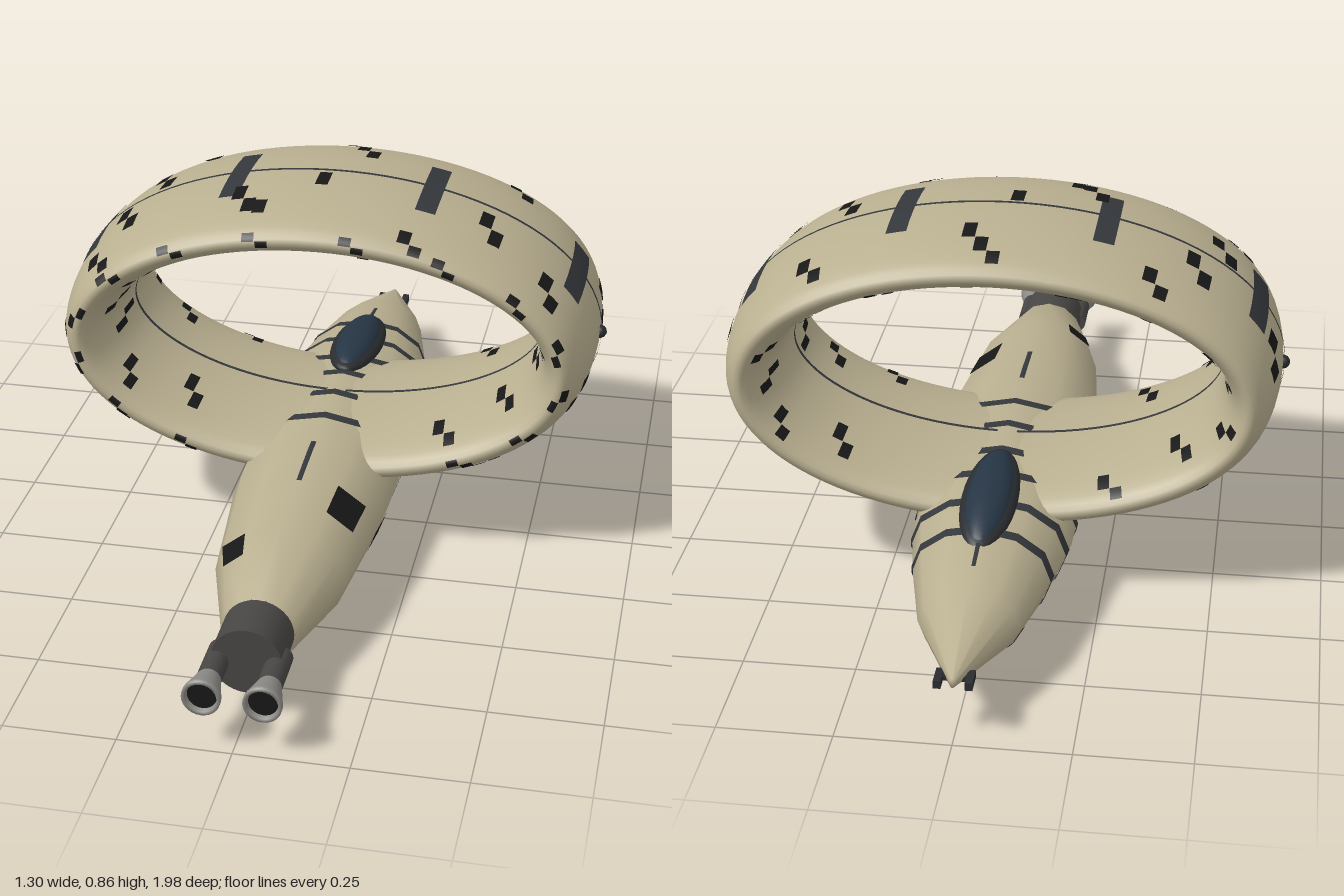
import * as THREE from 'three';
import { mergeVertices } from 'three/addons/utils/BufferGeometryUtils.js';

const mat = (color) => new THREE.MeshStandardMaterial({ color, side: THREE.DoubleSide });
const TAN = mat(0xb9af90), DARK = mat(0x2a2c2f), BLACK = mat(0x171717), BAND = mat(0x34373b);
const GLASS = mat(0x263544), METAL = mat(0x484644), BELL = mat(0x8c8a86);
const RAD = Math.PI / 180;

// Grid surface over fn(u, v) with welded, smooth vertices
function surface(fn, u0, u1, v0, v1, nu, nv) {
  const pos = [], index = [];
  for (let j = 0; j <= nv; j++) {
    for (let i = 0; i <= nu; i++) {
      pos.push(...fn(u0 + (u1 - u0) * i / nu, v0 + (v1 - v0) * j / nv));
      if (i < nu && j < nv) {
        const a = j * (nu + 1) + i, c = a + nu + 1;
        index.push(a, a + 1, c, a + 1, c + 1, c);
      }
    }
  }
  const g = new THREE.BufferGeometry();
  g.setAttribute('position', new THREE.Float32BufferAttribute(pos, 3));
  g.setIndex(index);
  const welded = mergeVertices(g, 1e-5);
  welded.computeVertexNormals();
  return welded;
}

// Elliptical ring wing: t runs round the ring, phi round its lens section
const A = 0.57, B = 0.29;
const ringPoint = (lift) => (t, phi) => {
  let nx = Math.cos(t) / A, ny = Math.sin(t) / B;
  const l = Math.hypot(nx, ny), r = (0.065 + lift) * Math.cos(phi);
  nx /= l; ny /= l;
  return [A * Math.cos(t) + nx * r, 0.5 + B * Math.sin(t) + ny * r,
    -0.125 + (0.285 + lift) * Math.sin(phi)];
};
const ringSpeed = (t) => Math.hypot(A * Math.sin(t), B * Math.cos(t));

// Fuselage stations: z, half width, centre height, half height
const STATIONS = [
  [-0.985, 0.006, 0.145, 0.012], [-0.76, 0.11, 0.145, 0.08], [-0.58, 0.15, 0.145, 0.11],
  [-0.4, 0.183, 0.145, 0.126], [-0.1, 0.19, 0.145, 0.14], [0.2, 0.184, 0.145, 0.135],
  [0.52, 0.15, 0.14, 0.117], [0.74, 0.085, 0.137, 0.08],
];
const SIDES = 12;
const hullPoint = (lift) => (a, z) => {
  let k = 0;
  while (k < STATIONS.length - 2 && z > STATIONS[k + 1][0]) k++;
  const p = STATIONS[k], q = STATIONS[k + 1], f = (z - p[0]) / (q[0] - p[0]);
  const [, w, yc, h] = p.map((v, i) => v + (q[i] - v) * f);
  // straight facets between the section's corners
  const s = a / (2 * Math.PI) * SIDES, i = Math.floor(s + 1e-6), g = s - i;
  const corner = (n, fn) => fn(n * 2 * Math.PI / SIDES);
  const x = corner(i, Math.cos) * (1 - g) + corner(i + 1, Math.cos) * g;
  const y = corner(i, Math.sin) * (1 - g) + corner(i + 1, Math.sin) * g;
  return [(w + lift) * x, yc + (h + lift) * y, z];
};

export function createModel() {
  const model = new THREE.Group();
  const add = (name, geometry, material, x = 0, y = 0, z = 0, parent = model) => {
    const m = new THREE.Mesh(geometry, material);
    m.name = name;
    m.position.set(x, y, z);
    parent.add(m);
    return m;
  };

  // Ring wing and the seams round its outside and inside
  const TAU = 2 * Math.PI;
  add('ringWing', surface(ringPoint(0), 0, TAU, -Math.PI, Math.PI, 96, 40), TAN);
  for (const [name, phi] of [['outerSeam', 0], ['innerSeam', Math.PI]]) {
    add(name, surface(ringPoint(0.004), 0, TAU, phi - 0.018, phi + 0.018, 96, 1), BAND);
  }
  for (const s of [1, -1]) add('tipLight', new THREE.SphereGeometry(0.016, 12, 8), DARK, s * 0.635, 0.5, -0.125);

  // Camouflage patches lying on the ring
  const camo = new THREE.Group();
  camo.name = 'ringCamouflage';
  model.add(camo);
  const ringPatch = (t, phi, width, dPhi, material) => {
    const h = width / ringSpeed(t) / 2;
    add('camoPatch', surface(ringPoint(0.003), t - h, t + h, phi - dPhi / 2, phi + dPhi / 2, 2, 5), material, 0, 0, 0, camo);
  };
  for (const d of [22.5, 67.5, 112.5, 157.5, 202.5, 337.5]) ringPatch(d * RAD, 0.0, 0.045, 0.95, BAND);

  // Stepped clusters: angle round the ring, section angle, steps
  const clusters = [
    [90, -1.0, 3], [92, 0.17, 1], [110, 0.42, 2], [104, 0.7, 1], [138, -0.45, 2], [145, 0.17, 2],
    [48, -0.9, 2], [53, 0.25, 2], [32, 0.65, 2], [153, 0.8, 2], [8, -0.4, 2], [172, -0.6, 2],
    [-8, 0.6, 2], [188, 0.5, 2], [-45, 0.85, 2], [222, 0.85, 2], [-38, -0.85, 2], [218, -0.85, 2],
    [70, 1.0, 2], [128, -1.0, 2],
  ];
  for (let i = 0; i < 14; i++) {
    const d = -55 + i * 290 / 13;
    clusters.push([d, 2.2 + (i % 3) * 0.25, 2], [d + 8, 3.75 + (i % 2) * 0.3, 2], [d + 4, 1.35, 2]);
  }
  for (const [d, phi, steps] of clusters) {
    for (let k = 0; k < steps; k++) {
      const t = d * RAD;
      ringPatch(t - k * 0.03 / ringSpeed(t), phi + k * 0.24, 0.028, 0.24, BLACK);
    }
  }
  // Large dark panels under the ring, either side of the hull
  for (const c of [-48, 228]) {
    add('lowerPanel', surface(ringPoint(0.004), (c - 18) * RAD, (c + 18) * RAD, -0.75, 0.36, 14, 10), BLACK);
  }

  // Fuselage: twelve-sided loft, closed fore and aft
  const hull = hullPoint(0), n = STATIONS.length - 1;
  const row = (a, v) => {
    if (v === 0) return [0, 0.145, -0.987];
    if (v === n + 2) return [0, 0.137, 0.74];
    return hull(a, STATIONS[Math.round(v) - 1][0]);
  };
  add('fuselage', surface(row, 0, TAU, 0, n + 2, SIDES, n + 2), TAN);

  // Bands, spine lines and patches on the hull
  const hullPatch = (name, a0, a1, z0, z1, material, nu = 4) =>
    add(name, surface(hullPoint(0.003), a0 * RAD, a1 * RAD, z0, z1, nu, 4), material);
  for (const z of [0.02, -0.1, -0.22, -0.32, -0.44, -0.555]) {
    hullPatch('hullBand', 0, 360, z - 0.014, z + 0.014, BAND, 24);
  }
  hullPatch('spineLine', 88, 92, -0.68, -0.59, BAND);
  hullPatch('spineLine', 88, 92, 0.15, 0.32, BAND);
  hullPatch('hullPatch', 30, 60, 0.3, 0.41, BLACK);
  hullPatch('hullPatch', 122, 150, 0.52, 0.59, BLACK);
  hullPatch('hullPatch', -24, -1, 0.19, 0.3, BLACK);
  hullPatch('hullPatch', 205, 232, 0.3, 0.39, BLACK);
  hullPatch('hullPatch', 205, 245, -0.76, -0.69, BLACK);
  for (let i = 0; i < 4; i++) hullPatch('bellyPort', 236, 240, 0.42 + i * 0.03, 0.432 + i * 0.03, BLACK);

  // Canopy in a dark frame, sloping with the hull
  const dome = new THREE.SphereGeometry(1, 32, 20);
  const canopy = new THREE.Group();
  canopy.name = 'canopy';
  canopy.position.set(0, 0.262, -0.42);
  canopy.rotation.x = -0.1;
  model.add(canopy);
  add('canopyFrame', dome, DARK, 0, 0, 0, canopy).scale.set(0.064, 0.03, 0.195);
  add('canopyGlass', dome, GLASS, 0, 0, 0, canopy).scale.set(0.054, 0.044, 0.185);

  // Nose sensors
  for (const s of [1, -1]) add('noseSensor', new THREE.BoxGeometry(0.016, 0.018, 0.05), DARK, s * 0.033, 0.136, -0.957);
  add('noseBar', new THREE.BoxGeometry(0.066, 0.01, 0.014), DARK, 0, 0.136, -0.95);

  // Stern collar with twin nozzles
  const collar = new THREE.CylinderGeometry(0.078, 0.078, 0.13, 32).rotateX(Math.PI / 2);
  add('sternCollar', collar, METAL, 0, 0.137, 0.795);
  const pipe = new THREE.CylinderGeometry(0.027, 0.027, 0.11, 20).rotateX(Math.PI / 2);
  const profile = [[0.022, 0], [0.028, 0.02], [0.034, 0.045], [0.042, 0.075], [0.042, 0.085], [0.034, 0.085], [0.03, 0.06]];
  const bell = new THREE.LatheGeometry(profile.map(([r, y]) => new THREE.Vector2(r, y)), 28).rotateX(Math.PI / 2);
  for (const s of [1, -1]) {
    const x = s * 0.065;
    add('nozzlePipe', pipe, METAL, x, 0.13, 0.87);
    add('nozzleBell', bell, BELL, x, 0.13, 0.912);
    add('nozzleThroat', new THREE.CircleGeometry(0.034, 24), BLACK, x, 0.13, 0.985);
  }
  return model;
}
